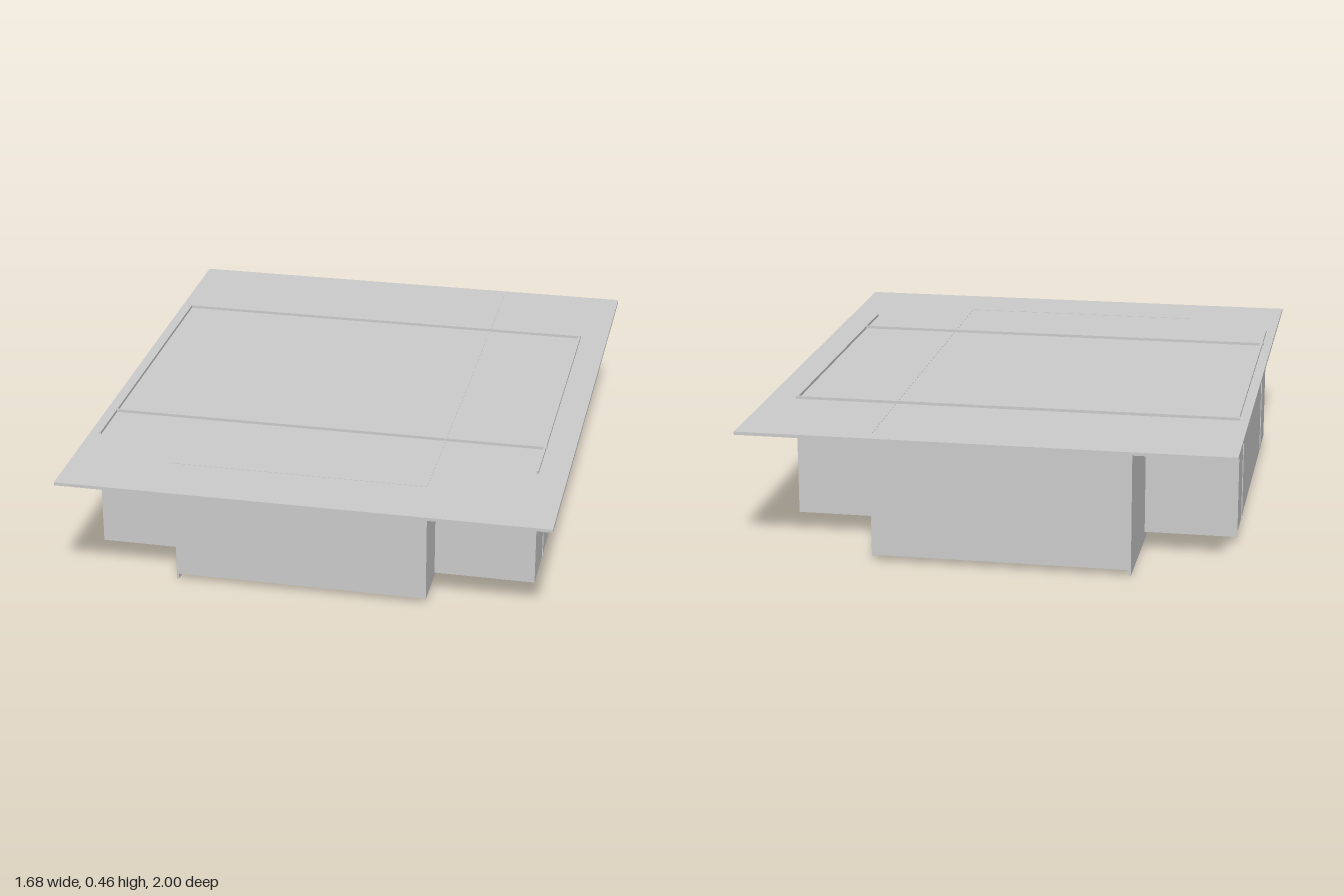
import * as THREE from 'three';

const material = new THREE.MeshStandardMaterial({ color: 0xcccccc, flatShading: true });

// Box given by its limits on each axis
function panel(group, name, [x0, x1], [y0, y1], [z0, z1]) {
  const mesh = new THREE.Mesh(new THREE.BoxGeometry(x1 - x0, y1 - y0, z1 - z0), material);
  mesh.position.set((x0 + x1) / 2, (y0 + y1) / 2, (z0 + z1) / 2);
  mesh.name = name;
  group.add(mesh);
}

export function createModel() {
  const model = new THREE.Group();
  model.name = 'panelledTray';
  const t = 0.008; // panel thickness

  // Thin cover plate
  panel(model, 'coverPlate', [-0.84, 0.84], [0.436, 0.447], [-1, 1]);

  // Wide compartment: side walls and back wall rise just above the cover
  const wide = new THREE.Group();
  wide.name = 'wideCompartment';
  model.add(wide);
  panel(wide, 'floor', [-0.806, 0.74], [0.03, 0.04], [-0.58, 0.608]);
  panel(wide, 'rightWall', [-0.806, -0.798], [0.03, 0.457], [-0.582, 0.608]);
  panel(wide, 'leftWall', [0.732, 0.74], [0.03, 0.457], [-0.582, 0.608]);
  panel(wide, 'backWall', [-0.81, 0.74], [0.03, 0.457], [-0.586, -0.578]);
  panel(wide, 'frontWall', [-0.806, 0.74], [0.03, 0.44], [0.602, 0.61]);

  // Cross dividers, showing as fine seams on the outer sides
  panel(wide, 'frontDivider', [-0.809, 0.743], [0.03, 0.457], [0.41, 0.418]);
  panel(wide, 'backDivider', [-0.809, 0.743], [0.03, 0.44], [-0.387, -0.379]);

  // Narrow compartment crossing the wide one from front to back
  const narrow = new THREE.Group();
  narrow.name = 'narrowCompartment';
  model.add(narrow);
  panel(narrow, 'floor', [-0.49, 0.39], [0.029, 0.039], [-0.945, 0.78]);
  panel(narrow, 'frontWall', [-0.49, 0.39], [0.02, 0.448], [0.78 - t, 0.78]);
  panel(narrow, 'backWall', [-0.49, 0.39], [0.02, 0.44], [-0.945, -0.945 + t]);
  panel(narrow, 'rightWall', [-0.49, -0.49 + t], [0.03, 0.44], [-0.945, 0.78]);
  panel(narrow, 'leftWall', [0.39 - t, 0.39], [0.03, 0.448], [-0.945, 0.78]);

  // Notched lower edges of the two long walls
  for (const z of [[0.575, 0.78], [0.06, 0.5], [-0.455, -0.02], [-0.945, -0.525]])
    panel(narrow, 'rightFoot', [-0.49, -0.49 + t], [0, 0.03], z);
  for (const z of [[0.575, 0.78], [0.06, 0.5], [-0.44, -0.02], [-0.945, -0.5]])
    panel(narrow, 'leftFoot', [0.39 - t, 0.39], [0.018, 0.03], z);

  return model;
}
